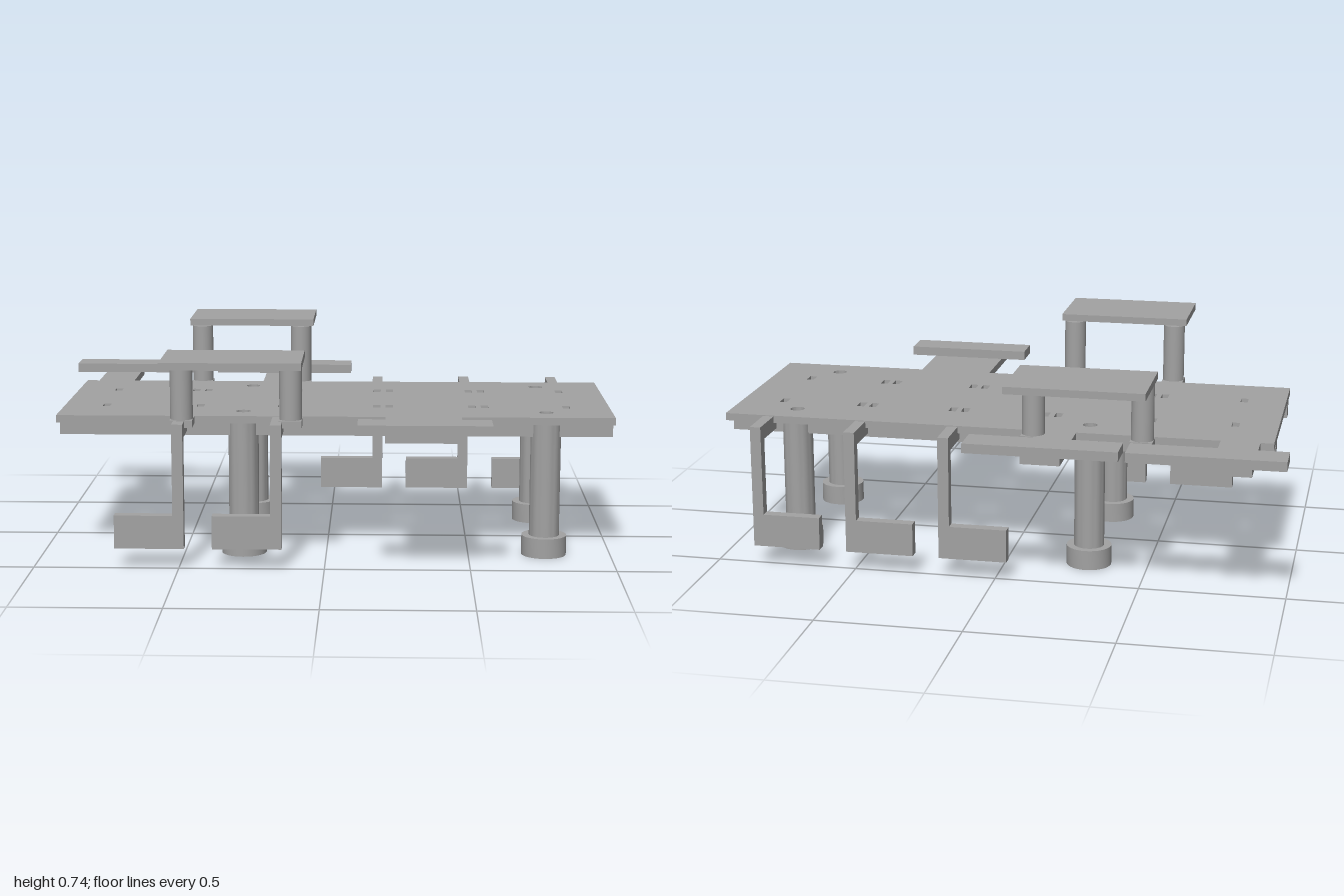
import * as THREE from 'three';
import { toCreasedNormals } from 'three/addons/utils/BufferGeometryUtils.js';

export function createModel() {
  const model = new THREE.Group();
  const grey = new THREE.MeshStandardMaterial({ color: 0xa2a2a2 });
  grey.name = 'plainGrey';

  const add = (name, geometry, parent = model) => {
    const mesh = new THREE.Mesh(geometry, grey);
    mesh.name = name;
    parent.add(mesh);
    return mesh;
  };

  // Box given by its limits on each axis
  const box = (name, [x0, x1], [y0, y1], [z0, z1], parent) =>
    add(name, new THREE.BoxGeometry(x1 - x0, y1 - y0, z1 - z0), parent)
      .position.set((x0 + x1) / 2, (y0 + y1) / 2, (z0 + z1) / 2);

  const circle = (C, x, y, r) => new C().absarc(x, y, r, 0, Math.PI * 2, false);
  const polygon = (C, points) => new C(points.map(([x, y]) => new THREE.Vector2(x, y)));

  // Extrudes a shape drawn in x and -z upwards from y0 to y1
  const slab = (shape, y0, y1) => {
    const g = new THREE.ExtrudeGeometry(shape, { depth: y1 - y0, bevelEnabled: false, curveSegments: 16 });
    g.rotateX(-Math.PI / 2).translate(0, y0, 0);
    return toCreasedNormals(g, 0.6);
  };

  const under = 0.48, top = 0.506;
  const boltXs = [-0.291, 0.767], boltZs = [-0.277, 0.258];
  const columnXs = [-0.493, -0.118];

  // Deck plate with bolt holes and two rows of slots
  const deck = polygon(THREE.Shape, [[-0.934, -0.358], [0.998, -0.358], [0.998, 0.382], [-0.934, 0.382]]);
  for (const x of boltXs) for (const z of boltZs) deck.holes.push(circle(THREE.Path, x, -z, 0.025));
  for (const z of [-0.175, 0.15])
    for (const x of [-0.785, -0.495, -0.45, -0.161, -0.115, 0.175, 0.22, 0.512, 0.557, 0.845]) {
      const w = 0.013, h = 0.025;
      deck.holes.push(polygon(THREE.Path,
        [[x - w, -z - h], [x - w, -z + h], [x + w, -z + h], [x + w, -z - h]]));
    }
  add('deckPlate', slab(deck, under, top));

  // Rails below the deck, interrupted by the bolts
  for (const z of boltZs)
    for (const span of [[-0.934, -0.335], [-0.247, 0.723], [0.811, 0.998]])
      box('underRail', span, [0.425, under], [z - 0.026, z + 0.026]);

  // Hollow bolts with socketed heads as feet
  const shaft = circle(THREE.Shape, 0, 0, 0.053);
  shaft.holes.push(circle(THREE.Path, 0, 0, 0.025));
  const head = circle(THREE.Shape, 0, 0, 0.079);
  head.holes.push(polygon(THREE.Path, [0, 1, 2, 3, 4, 5].map(i =>
    [0.04 * Math.cos(i * Math.PI / 3), 0.04 * Math.sin(i * Math.PI / 3)])));
  const shaftGeometry = slab(shaft, 0.07, under), headGeometry = slab(head, 0, 0.07);
  for (const x of boltXs) for (const z of boltZs) {
    const bolt = new THREE.Group();
    bolt.name = 'bolt';
    add('boltShaft', shaftGeometry, bolt);
    add('boltHead', headGeometry, bolt);
    bolt.position.set(x, 0, z);
    model.add(bolt);
  }

  // Tabs reaching out from the deck, with bars on top of their ends
  box('frontTab', [0.206, 0.469], [under, top], [0.358, 0.695]);
  box('frontBar', [0.115, 0.561], [top, 0.539], [0.58, 0.695]);
  for (const tab of [[-0.888, -0.754], [-0.26, -0.126]])
    box('backTab', tab, [under, top], [-0.695, -0.382]);
  for (const bar of [[-1, -0.475], [-0.452, 0.07]])
    box('backBar', bar, [top, 0.539], [-0.695, -0.58]);

  // Raised platforms on pairs of columns standing on small pads
  const platforms = [
    { side: 'front', z: 0.405, plate: [0.387, 0.68], pad: [0.358, 0.444] },
    { side: 'back', z: -0.417, plate: [-0.7, -0.404], pad: [-0.456, -0.382] },
  ];
  for (const { side, z, plate, pad } of platforms) {
    box(side + 'Platform', [-0.54, -0.07], [0.716, 0.741], plate);
    for (const x of columnXs) {
      add(side + 'Column', new THREE.CylinderGeometry(0.039, 0.039, 0.716 - top, 32))
        .position.set(x, (0.716 + top) / 2, z);
      box(side + 'ColumnPad', [x - 0.039, x + 0.039], [under, top - 0.001], pad);
    }
  }

  // Hanging arms: level beam, post, and a foot turned towards the right
  const hangingArm = (name, x, [z0, z1], beam) => {
    const arm = new THREE.Group();
    arm.name = name;
    box('armBeam', [x - 0.038, x], [0.452, 0.503], beam, arm);
    box('armPost', [x - 0.038, x], [0.07, 0.452], [z0, z1], arm);
    box('armFoot', [x - 0.239, x - 0.038], [0.07, 0.186], [z0, z1], arm);
    model.add(arm);
  };
  for (const x of [-0.481, -0.146]) hangingArm('frontArm', x, [0.47, 0.508], [0.338, 0.508]);
  for (const x of [0.194, 0.525, 0.86]) hangingArm('backArm', x, [-0.526, -0.488], [-0.526, -0.352]);

  return model;
}
